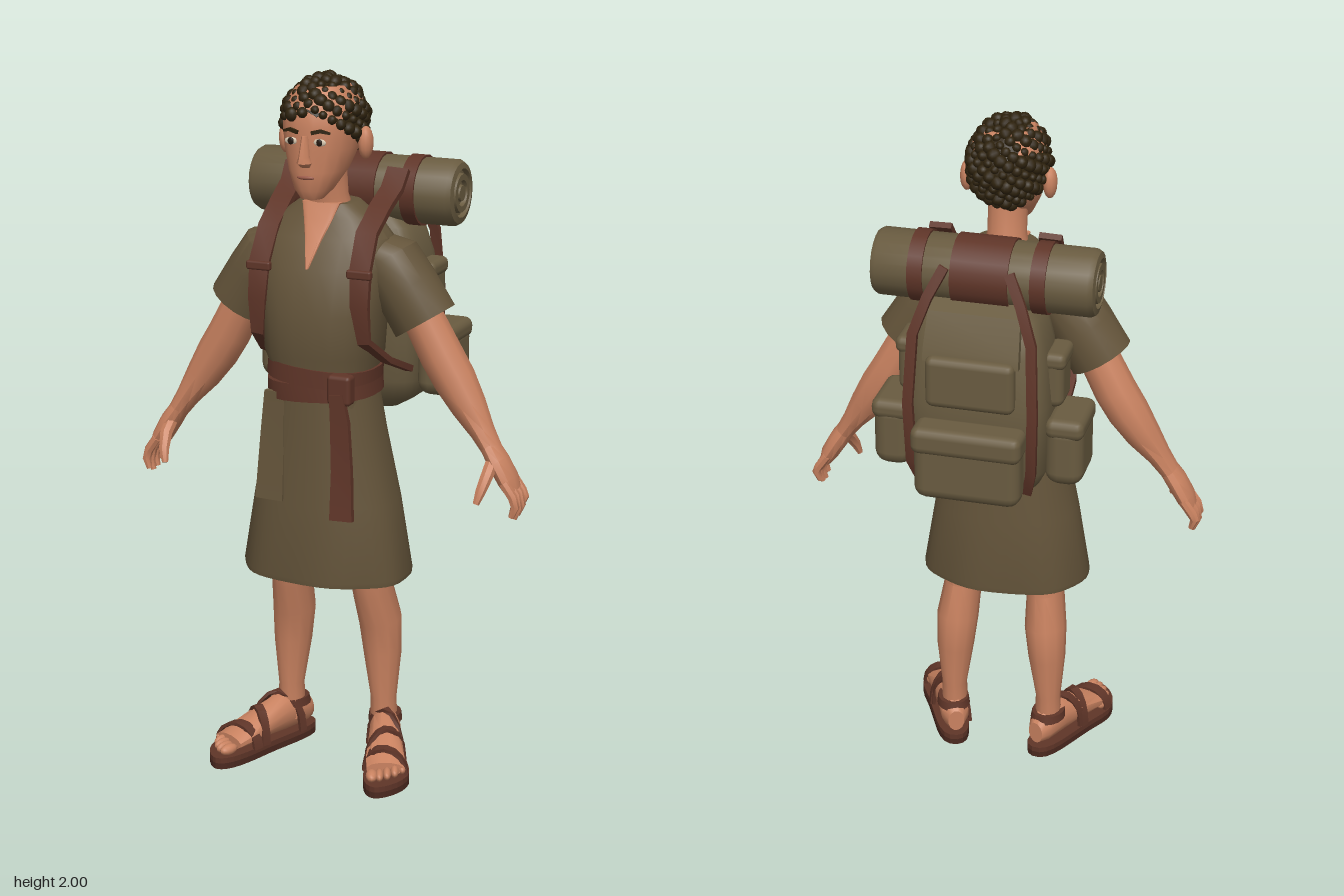
import * as THREE from 'three';
import { mergeGeometries, toCreasedNormals } from 'three/addons/utils/BufferGeometryUtils.js';
import { RoundedBoxGeometry } from 'three/addons/geometries/RoundedBoxGeometry.js';

const paint = (name, color) => Object.assign(new THREE.MeshStandardMaterial({ color }), { name });
const V = (a) => new THREE.Vector3(...a);
const X = [1, 0, 0], Y = [0, 1, 0], Z = [0, 0, 1];

// Closed loft through rows of [x, y, z, ru, rv]; rv lies along ref, the ring faces axis (or the path).
function loft(rows, { sides = 16, p = 2, axis = Y, ref = Z, fold = 0, crease = 0.7 } = {}) {
  const pos = [], idx = [], n = rows.length;
  rows.forEach(([x, y, z, ru, rv = ru], k) => {
    const t = axis ? V(axis)
      : V(rows[Math.min(k + 1, n - 1)].slice(0, 3)).sub(V(rows[Math.max(k - 1, 0)].slice(0, 3)));
    t.normalize();
    const v = V(ref).addScaledVector(t, -V(ref).dot(t)).normalize();
    const u = v.clone().cross(t);
    for (let i = 0; i < sides; i++) {
      const a = (i + 0.5) / sides * Math.PI * 2, c = Math.cos(a), s = Math.sin(a);
      const f = 1 + fold * (k / n) * Math.cos(a * 7);
      const pt = new THREE.Vector3(x, y, z)
        .addScaledVector(u, f * ru * Math.sign(c) * Math.abs(c) ** (2 / p))
        .addScaledVector(v, f * rv * Math.sign(s) * Math.abs(s) ** (2 / p));
      pos.push(pt.x, pt.y, pt.z);
    }
  });
  pos.push(...rows[0].slice(0, 3), ...rows[n - 1].slice(0, 3));
  for (let i = 0; i < sides; i++) {
    const j = (i + 1) % sides, e = (n - 1) * sides;
    for (let k = 0; k < n - 1; k++) {
      const a = k * sides + i, b = k * sides + j;
      idx.push(a, b, a + sides, b, b + sides, a + sides);
    }
    idx.push(n * sides, j, i, n * sides + 1, e + i, e + j);
  }
  // Turn the faces outward whichever way the rows run
  let volume = 0;
  const at = (i) => new THREE.Vector3().fromArray(pos, i * 3);
  for (let i = 0; i < idx.length; i += 3) volume += at(idx[i]).dot(at(idx[i + 1]).cross(at(idx[i + 2])));
  if (volume < 0) idx.reverse();
  const g = new THREE.BufferGeometry();
  g.setAttribute('position', new THREE.Float32BufferAttribute(pos, 3));
  g.setIndex(idx);
  return toCreasedNormals(g, crease);
}

const tube = (rows, o = {}) => loft(rows, { sides: 10, axis: null, ...o });
// Flat strap along points [x, y, z, halfWidth], its width along ref
const band = (pts, ref = X, thick = 0.009) =>
  tube(pts.map(([x, y, z, w]) => [x, y, z, thick, w]), { sides: 4, p: 60, ref, crease: 0.5 });
const ball = (x, y, z, rx, ry, rz) => new THREE.SphereGeometry(1, 12, 8).scale(rx, ry, rz).translate(x, y, z);
const box = (x, y, z, w, h, d, r = 0.02) => new RoundedBoxGeometry(w, h, d, 2, r).translate(x, y, z);

export function createModel() {
  const skin = paint('skin', 0xc98260), cloth = paint('tunic cloth', 0x64543a);
  const canvas = paint('canvas', 0x695b40), leather = paint('leather', 0x5f3528);
  const hair = paint('hair', 0x2e220d), sole = paint('sole leather', 0x4b291f);
  const white = paint('eye white', 0xd8c8b0), dark = paint('dark brown', 0x24180f), lips = paint('lips', 0x9a5a48);
  const model = new THREE.Group();
  const add = (name, geo, mat, parent = model) => {
    const m = new THREE.Mesh(geo, mat);
    m.name = name;
    parent.add(m);
    return m;
  };
  const group = (name) => { const g = new THREE.Group(); g.name = name; model.add(g); return g; };

  // Head and face
  const head = group('head');
  add('neck', loft([[0, 1.5, 0.11, 0.1, 0.07], [0, 1.6, 0.115, 0.07, 0.065], [0, 1.66, 0.13, 0.055, 0.06],
    [0, 1.76, 0.145, 0.055, 0.065]]), skin, head);
  add('skull', loft([[0, 1.665, 0.235, 0.03, 0.032], [0, 1.69, 0.22, 0.052, 0.06], [0, 1.74, 0.188, 0.078, 0.095],
    [0, 1.8, 0.165, 0.097, 0.118], [0, 1.86, 0.16, 0.104, 0.125], [0, 1.92, 0.155, 0.1, 0.12],
    [0, 1.965, 0.155, 0.07, 0.08]], { p: 2.2 }), skin, head);
  add('nose', loft([[0, 1.755, 0.278, 0.014, 0.01], [0, 1.768, 0.285, 0.021, 0.027], [0, 1.785, 0.285, 0.015, 0.024],
    [0, 1.84, 0.28, 0.01, 0.012]], { sides: 8 }), skin, head);
  add('mouth', ball(0, 1.727, 0.279, 0.026, 0.006, 0.006), lips, head);
  for (const s of [1, -1]) {
    add('ear', ball(s * 0.118, 1.81, 0.145, 0.02, 0.045, 0.028).rotateY(0), skin, head);
    add('eyeWhite', ball(s * 0.042, 1.825, 0.279, 0.019, 0.01, 0.004), white, head);
    add('pupil', ball(s * 0.042, 1.825, 0.282, 0.009, 0.01, 0.004), dark, head);
    add('eyebrow', band([[s * 0.02, 1.85, 0.286, 0.005], [s * 0.045, 1.856, 0.281, 0.005],
      [s * 0.068, 1.849, 0.268, 0.003]], Y, 0.004), hair, head);
  }

  // Curly hair: a cap tucked in below the hairline, covered with small curls
  const hairline = (z) => 1.735 + Math.max(0, z - 0.05) * 0.68;
  const cap = new THREE.IcosahedronGeometry(1, 6).scale(0.108, 0.12, 0.138).translate(0, 1.86, 0.15);
  const cp = cap.attributes.position;
  for (let i = 0; i < cp.count; i++) {
    if (cp.getY(i) < hairline(cp.getZ(i)))
      cp.setXYZ(i, cp.getX(i) * 0.7, 1.86 + (cp.getY(i) - 1.86) * 0.7, 0.15 + (cp.getZ(i) - 0.15) * 0.7);
  }
  cap.computeVertexNormals();
  add('hairCap', cap, hair, head);
  const curls = [];
  for (let i = 0; i < 230; i++) {
    const c = 1 - 2 * (i + 0.5) / 230, r = Math.sqrt(1 - c * c), a = i * 2.39996;
    const x = 0.106 * r * Math.cos(a), y = 1.86 + 0.12 * c, z = 0.15 + 0.136 * r * Math.sin(a);
    if (y > hairline(z) + 0.008)
      curls.push(new THREE.IcosahedronGeometry(0.016 + 0.004 * Math.sin(i * 7.3), 1).rotateX(i).translate(x, y, z));
  }
  add('curls', mergeGeometries(curls), hair, head);

  // Tunic: bodice, open neck, skirt with an open hem
  const tunic = group('tunic');
  add('bodice', loft([[0, 1.08, 0.15, 0.15, 0.135], [0, 1.17, 0.15, 0.145, 0.135], [0, 1.225, 0.155, 0.165, 0.145],
    [0, 1.35, 0.155, 0.175, 0.145], [0, 1.47, 0.145, 0.19, 0.13], [0, 1.55, 0.125, 0.185, 0.105],
    [0, 1.6, 0.115, 0.14, 0.085], [0, 1.64, 0.115, 0.085, 0.068]], { sides: 24, p: 2.4 }), cloth, tunic);
  add('openNeck', loft([[0, 1.475, 0.262, 0.004, 0.016], [0, 1.55, 0.219, 0.026, 0.016], [0, 1.6, 0.189, 0.043, 0.016],
    [0, 1.643, 0.168, 0.056, 0.018]], { p: 6, sides: 12 }), skin, tunic);
  add('skirt', loft([[0, 1.15, 0.15, 0.145, 0.135], [0, 1.0, 0.145, 0.17, 0.145], [0, 0.8, 0.14, 0.212, 0.157],
    [0, 0.59, 0.14, 0.247, 0.17], [0, 0.575, 0.14, 0.245, 0.168], [0, 0.59, 0.14, 0.232, 0.155],
    [0, 0.8, 0.14, 0.195, 0.14]], { sides: 42, p: 2.2, fold: 0.025, crease: 0.5 }), cloth, tunic);
  add('skirtPanel', band([[-0.1, 1.12, 0.268, 0.03], [-0.105, 1.0, 0.272, 0.036], [-0.11, 0.81, 0.288, 0.042]]), cloth, tunic);

  // Belt with knot and hanging end
  const belt = group('belt');
  for (const [y, tilt] of [[1.175, -0.08], [1.13, 0.05]])
    add('beltWrap', loft([[0, -0.025, 0, 0.158, 0.148], [0, 0.025, 0, 0.157, 0.147]], { sides: 24, p: 2.4 })
      .rotateZ(tilt).translate(0, y, 0.15), leather, belt);
  add('knot', box(0.105, 1.15, 0.283, 0.07, 0.085, 0.045, 0.012), leather, belt);
  add('hangingEnd', band([[0.1, 1.14, 0.3, 0.02], [0.11, 1.06, 0.3, 0.027], [0.117, 0.92, 0.303, 0.03],
    [0.122, 0.785, 0.318, 0.034]]), leather, belt);

  for (const s of [1, -1]) {
    const m = (rows) => rows.map(([x, ...r]) => [s * x, ...r]);

    // Sleeve, hollow at the cuff
    add('sleeve', loft(m([[0.09, 1.53, 0.112, 0.06, 0.07], [0.17, 1.49, 0.112, 0.09, 0.092], [0.225, 1.41, 0.108, 0.092, 0.092],
      [0.28, 1.32, 0.105, 0.095, 0.088], [0.275, 1.328, 0.105, 0.083, 0.076], [0.22, 1.42, 0.105, 0.06, 0.06]]),
    { axis: [s * 0.53, -0.85, 0] }), cloth, tunic);

    // Arm and hand
    const arm = group(s > 0 ? 'leftArm' : 'rightArm');
    add('forearm', tube(m([[0.2, 1.45, 0.108, 0.05], [0.275, 1.32, 0.1, 0.058], [0.325, 1.225, 0.095, 0.061],
      [0.365, 1.16, 0.095, 0.06], [0.41, 1.09, 0.1, 0.05, 0.052], [0.455, 1.025, 0.11, 0.034, 0.042],
      [0.485, 0.98, 0.115, 0.028, 0.04]])), skin, arm);
    add('palm', tube(m([[0.475, 0.995, 0.115, 0.027, 0.038], [0.505, 0.95, 0.118, 0.03, 0.047],
      [0.535, 0.9, 0.118, 0.027, 0.05], [0.55, 0.87, 0.118, 0.018, 0.044]])), skin, arm);
    [0.08, 0.106, 0.132, 0.157].forEach((z, i) => {
      const d = [0.02, 0.004, 0, 0.01][i];
      add('finger', tube(m([[0.535, 0.9, z, 0.014], [0.562, 0.862, z, 0.014], [0.57, 0.825 + d, z, 0.013],
        [0.56, 0.795 + d, z + 0.003, 0.008]]), { sides: 7 }), skin, arm);
    });
    add('thumb', tube(m([[0.495, 0.96, 0.13, 0.018], [0.495, 0.925, 0.175, 0.018], [0.487, 0.885, 0.205, 0.015],
      [0.478, 0.85, 0.217, 0.009]]), { sides: 7, ref: X }), skin, arm);

    // Leg
    add(s > 0 ? 'leftLeg' : 'rightLeg', tube(m([[0.11, 0.82, 0.14, 0.08], [0.122, 0.6, 0.115, 0.061, 0.08],
      [0.127, 0.52, 0.108, 0.055, 0.074], [0.136, 0.42, 0.075, 0.062, 0.07], [0.142, 0.32, 0.071, 0.055, 0.064],
      [0.147, 0.18, 0.073, 0.037, 0.045], [0.147, 0.07, 0.072, 0.04, 0.046]]), { sides: 12 }), skin);

    // Foot and sandal, turned outward
    const foot = group(s > 0 ? 'leftFoot' : 'rightFoot');
    foot.position.set(s * 0.147, 0, 0.06);
    foot.rotation.y = s * 0.4;
    const outline = new THREE.Shape();
    outline.moveTo(0, 0.075);
    outline.bezierCurveTo(s * 0.07, 0.075, s * 0.045, -0.06, s * 0.068, -0.2);
    outline.bezierCurveTo(s * 0.08, -0.28, 0, -0.335, s * -0.03, -0.332);
    outline.bezierCurveTo(s * -0.075, -0.32, s * -0.062, -0.22, s * -0.055, -0.15);
    outline.bezierCurveTo(s * -0.045, -0.05, s * -0.06, 0.075, 0, 0.075);
    const plate = (depth, y) => new THREE.ExtrudeGeometry(outline, { depth, bevelEnabled: false, curveSegments: 8 })
      .rotateX(-Math.PI / 2).translate(0, y, 0);
    add('sole', plate(0.018, 0), sole, foot);
    add('insole', plate(0.016, 0.018), leather, foot);
    add('foot', loft([[0, 0.075, -0.058, 0.025, 0.035], [0, 0.085, -0.03, 0.042, 0.05], [0, 0.09, 0.05, 0.045, 0.06],
      [0, 0.078, 0.13, 0.05, 0.045], [0, 0.063, 0.21, 0.057, 0.03], [0, 0.055, 0.255, 0.054, 0.02]],
    { axis: Z, ref: Y, sides: 12 }), skin, foot);
    for (let i = 0; i < 5; i++)
      add('toe', ball(s * (-0.038 + i * 0.0215), 0.05, 0.288 - i * i * 0.0035, i ? 0.012 : 0.017, 0.016, 0.03), skin, foot);
    for (const [z, r, h, w, lean] of [[0.215, 0.061, 0.07, 0.016, 0.02], [0.14, 0.056, 0.098, 0.014, -0.02], [0.06, 0.051, 0.125, 0.012, 0.05]]) {
      const arc = [];
      for (let i = 0; i <= 8; i++) {
        const a = i / 8 * Math.PI;
        arc.push([s * r * Math.cos(a), 0.03 + h * Math.sin(a), z + lean * Math.cos(a), w]);
      }
      add('sandalStrap', band(arc, Z, 0.005), leather, foot);
    }
    add('ankleStrap', loft([[0, 0.105, 0.005, 0.05, 0.058], [0, 0.13, 0.008, 0.047, 0.055]]), leather, foot);
  }

  // Backpack body and pockets
  const pack = group('backpack');
  add('packBody', loft([[0, 1.01, -0.12, 0.12, 0.06], [0, 1.04, -0.125, 0.17, 0.1], [0, 1.1, -0.132, 0.2, 0.13],
    [0, 1.3, -0.137, 0.205, 0.135], [0, 1.45, -0.127, 0.19, 0.12], [0, 1.54, -0.117, 0.165, 0.105],
    [0, 1.58, -0.11, 0.12, 0.07]], { sides: 28, p: 4 }), canvas, pack);
  add('topFlap', band([[0, 1.585, -0.15, 0.12], [0, 1.555, -0.215, 0.13], [0, 1.46, -0.252, 0.135],
    [0, 1.43, -0.257, 0.135]], X, 0.012), canvas, pack);
  add('upperPocket', box(0, 1.375, -0.265, 0.25, 0.15, 0.05, 0.022), canvas, pack);
  add('backPocket', box(-0.01, 1.16, -0.32, 0.3, 0.21, 0.095, 0.035), canvas, pack);
  add('backPocketFlap', box(-0.01, 1.235, -0.325, 0.31, 0.08, 0.1, 0.025), canvas, pack);
  for (const s of [1, -1]) {
    add('sidePocket', box(s * 0.245, 1.155, -0.125, 0.11, 0.19, 0.18, 0.04), canvas, pack);
    add('sidePocketFlap', box(s * 0.247, 1.235, -0.125, 0.112, 0.06, 0.185, 0.025), canvas, pack);
    add('sidePouch', box(s * 0.205, 1.36, -0.115, 0.06, 0.16, 0.115, 0.025), canvas, pack);
    add('sidePouchFlap', box(s * 0.208, 1.42, -0.115, 0.066, 0.05, 0.122, 0.02), canvas, pack);
    // Carrying straps over the shoulders, and straps that hold the roll
    add('shoulderStrap', band([[s * 0.155, 1.715, 0.0, 0.032], [s * 0.152, 1.665, 0.04, 0.032], [s * 0.148, 1.628, 0.11, 0.032],
      [s * 0.146, 1.57, 0.2, 0.031], [s * 0.15, 1.48, 0.253, 0.03], [s * 0.153, 1.38, 0.265, 0.026],
      [s * 0.16, 1.28, 0.25, 0.018], [s * 0.185, 1.21, 0.15, 0.014], [s * 0.19, 1.15, 0.0, 0.012]]), leather, pack);
    add('strapBuckle', box(s * 0.15, 1.47, 0.262, 0.072, 0.025, 0.02, 0.006), leather, pack);
    add('rollTie', band([[s * 0.09, 1.68, -0.195, 0.014], [s * 0.13, 1.6, -0.225, 0.014], [s * 0.165, 1.5, -0.25, 0.014],
      [s * 0.175, 1.3, -0.272, 0.014], [s * 0.17, 1.12, -0.262, 0.014], [s * 0.15, 1.04, -0.225, 0.014]]), leather, pack);
  }

  // Bedroll with stepped rings at its ends
  const h = 0.312, half = [[0, h], [0.022, h], [0.025, h - 0.012], [0.034, h - 0.012], [0.037, h], [0.054, h],
    [0.057, h - 0.014], [0.066, h - 0.014], [0.069, h], [0.086, h - 0.004], [0.094, h - 0.018]];
  const profile = [...half.map(([r, y]) => [r, -y]), ...half.slice().reverse()].map((q) => new THREE.Vector2(...q));
  const lay = (geo, x) => geo.rotateZ(Math.PI / 2).translate(x, 1.64, -0.105);
  add('bedroll', toCreasedNormals(lay(new THREE.LatheGeometry(profile, 20), -0.008), 0.6), canvas, pack);
  for (const [x, w] of [[-0.005, 0.16], [-0.167, 0.042], [0.173, 0.042]])
    add('rollStrap', lay(new THREE.CylinderGeometry(0.1, 0.1, w, 20), x), leather, pack);

  return model;
}
